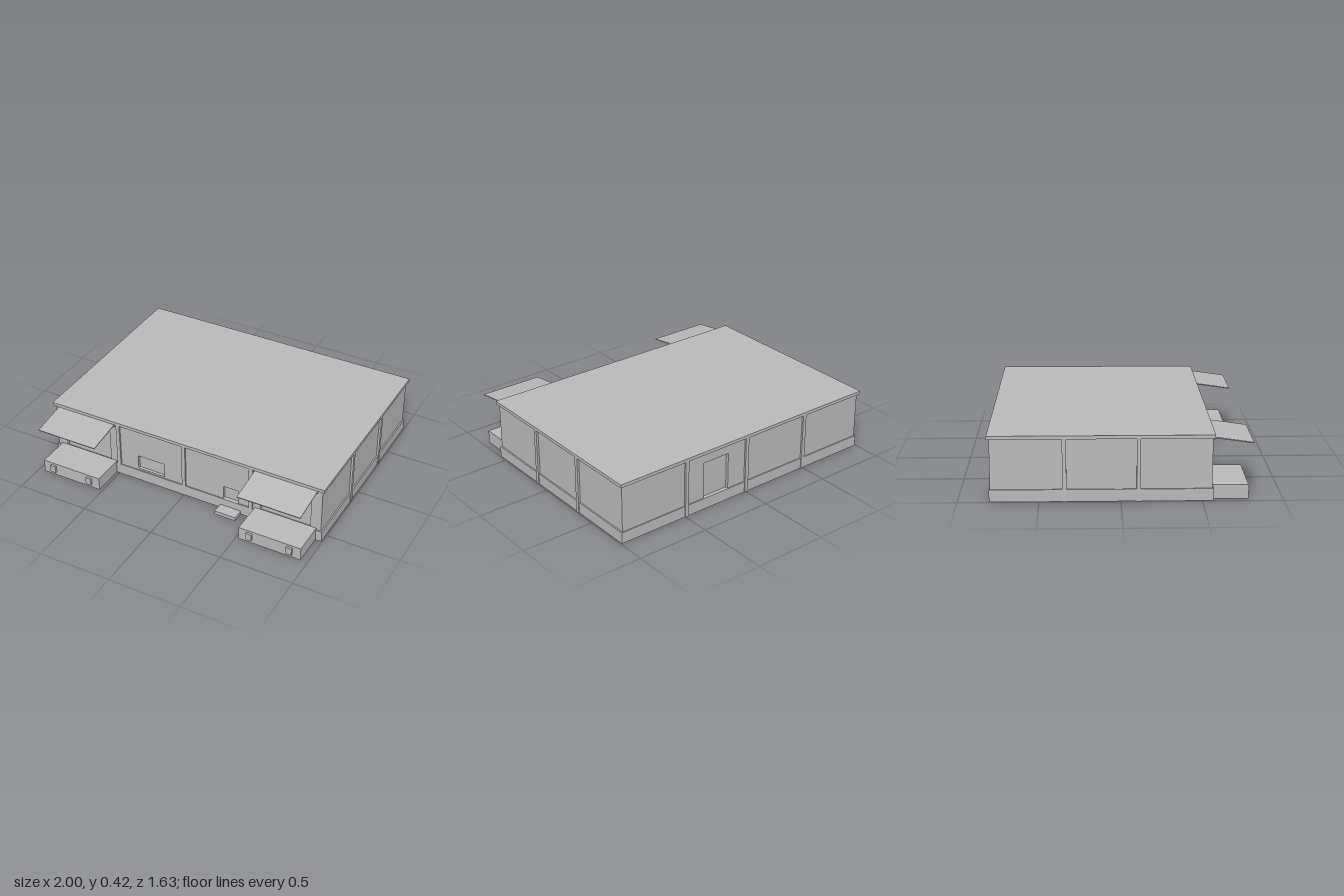
import * as THREE from 'three';

export function createModel() {
  const model = new THREE.Group();
  model.name = 'warehouse';
  const grey = new THREE.MeshStandardMaterial({ color: 0xb8b8b8 });
  grey.name = 'plain grey';

  const add = (name, geometry) => {
    const mesh = new THREE.Mesh(geometry, grey);
    mesh.name = name;
    model.add(mesh);
    return mesh;
  };

  // Box given by its limits on each axis
  const box = (name, x0, x1, y0, y1, z0, z1) =>
    add(name, new THREE.BoxGeometry(x1 - x0, y1 - y0, z1 - z0)
      .translate((x0 + x1) / 2, (y0 + y1) / 2, (z0 + z1) / 2));

  const FRONT = 0.562, BACK = -0.8, SIDE = 0.984;
  const BASE = 0.077, EAVES = 0.396, RECESS = 0.02;

  // Wall skin with openings cut through, each [x0, x1, y0, y1]
  const wall = (name, z, openings) => {
    const rect = (path, [x0, x1, y0, y1]) => path.moveTo(x0, y0)
      .lineTo(x1, y0).lineTo(x1, y1).lineTo(x0, y1).closePath();
    const shape = rect(new THREE.Shape(), [-SIDE, SIDE, BASE - 0.01, EAVES]);
    for (const o of openings) shape.holes.push(rect(new THREE.Path(), o));
    add(name, new THREE.ExtrudeGeometry(shape, { depth: RECESS, bevelEnabled: false })
      .translate(0, 0, z));
  };

  // Main body, plinth and flat roof
  box('body', -SIDE, SIDE, BASE - 0.01, EAVES, BACK + RECESS, FRONT - RECESS);
  box('plinth', -0.993, 0.993, 0, BASE, -0.806, 0.569);
  box('roof', -1, 1, EAVES, 0.418, -0.815, 0.576);

  // Front wall with two loading doors, a window and a hatch; back wall with a door
  wall('frontWall', FRONT - RECESS, [
    [-0.915, -0.565, BASE, 0.355],
    [0.56, 0.91, BASE, 0.355],
    [-0.35, -0.15, 0.09, 0.192],
    [0.29, 0.4, BASE, 0.175],
  ]);
  wall('backWall', BACK, [[0.15, 0.35, BASE, 0.33]]);

  // Pilasters on all four walls
  const P = 0.013;
  for (const x of [-0.495, 0, 0.49]) {
    box('frontPilaster', x - P, x + P, BASE, EAVES, FRONT - 0.01, 0.574);
    box('backPilaster', x - P, x + P, 0, EAVES, -0.812, BACK + 0.01);
  }
  for (const z of [0.11, -0.345]) {
    box('leftPilaster', SIDE - 0.01, 0.998, 0, EAVES, z - P, z + P);
    box('rightPilaster', -0.998, -SIDE + 0.01, 0, EAVES, z - P, z + P);
  }

  // Step below the hatch
  box('step', 0.27, 0.42, 0, 0.025, 0.56, 0.647);

  // Loading docks with bumpers and sloping canopies
  for (const x of [-0.738, 0.735]) {
    box('loadingDock', x - 0.217, x + 0.217, 0, 0.09, 0.56, 0.787);
    for (const dx of [-0.14, 0.14]) {
      box('dockBumper', x + dx - 0.02, x + dx + 0.02, 0.025, 0.075, 0.78, 0.802);
    }
    box('canopyBracket', x - 0.217, x + 0.217, 0.373, 0.39, FRONT - 0.005, 0.573);
    const profile = new THREE.Shape([[0.56, 0.388], [0.814, 0.352], [0.815, 0.358], [0.56, 0.395]]
      .map(([z, y]) => new THREE.Vector2(-z, y)));
    add('canopy', new THREE.ExtrudeGeometry(profile, { depth: 0.434, bevelEnabled: false })
      .rotateY(Math.PI / 2).translate(x - 0.217, 0, 0));
  }

  return model;
}
